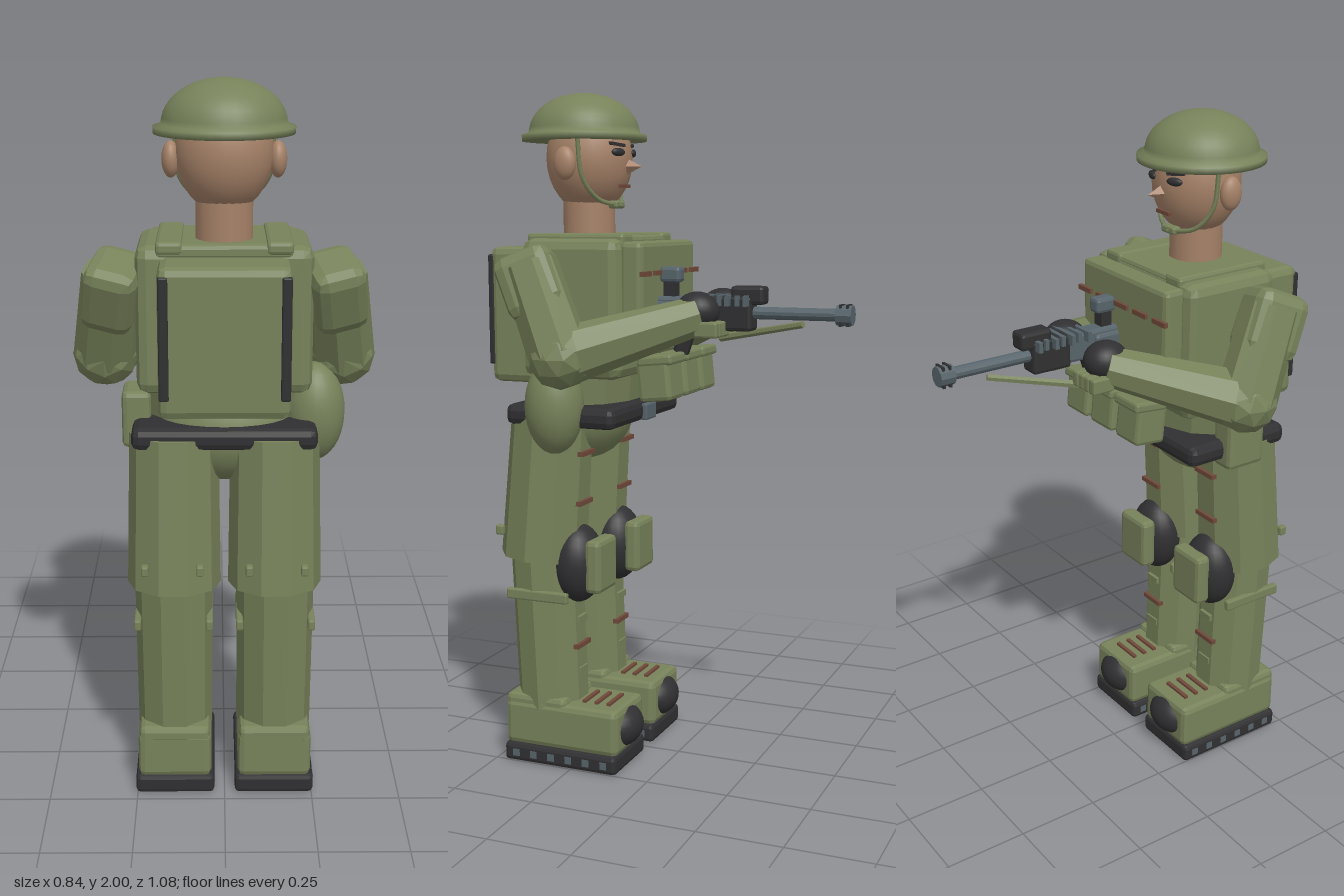
import * as THREE from 'three';
import { RoundedBoxGeometry } from 'three/addons/geometries/RoundedBoxGeometry.js';

export function createModel() {
  const model = new THREE.Group();
  model.name = 'soldier';
  const paint = (name, hex) => {
    const m = new THREE.MeshStandardMaterial({ color: hex });
    m.name = name;
    return m;
  };
  const olive = paint('olive cloth', 0x77825a);
  const skin = paint('skin', 0xa68268);
  const black = paint('black rubber', 0x303032);
  const steel = paint('gun steel', 0x57646b);
  const brown = paint('brown leather', 0x70493a);

  const V = (x, y, z) => new THREE.Vector3(x, y, z);
  const add = (name, geo, mat, p = [0, 0, 0], rot = [0, 0, 0]) => {
    const m = new THREE.Mesh(geo, mat);
    m.name = name;
    m.position.set(...p);
    m.rotation.set(...rot);
    model.add(m);
    return m;
  };
  const flat = (geo) => {
    const g = geo.index ? geo.toNonIndexed() : geo;
    g.computeVertexNormals();
    return g;
  };
  // Chamfered or plain box
  const box = (name, mat, size, p, bevel = 0, rot) =>
    add(name, bevel ? flat(new RoundedBoxGeometry(...size, 1, bevel)) : new THREE.BoxGeometry(...size), mat, p, rot);
  const ball = (name, mat, r, p, rot) => {
    const m = add(name, new THREE.SphereGeometry(1, 24, 16), mat, p, rot);
    m.scale.set(...r);
    return m;
  };
  // Tapered cylinder between two points
  const limb = (name, mat, a, b, ra, rb, sides = 8, faceted = true) => {
    const d = b.clone().sub(a);
    let g = new THREE.CylinderGeometry(rb, ra, d.length(), sides);
    g.rotateY(Math.PI / sides);
    if (faceted) g = flat(g);
    const m = add(name, g, mat, a.clone().add(b).multiplyScalar(0.5).toArray());
    m.quaternion.setFromUnitVectors(V(0, 1, 0), d.normalize());
    return m;
  };

  // Head and face
  ball('head', skin, [0.13, 0.16, 0.128], [0, 1.81, 0.285]);
  limb('neck', skin, V(0, 1.55, 0.288), V(0, 1.7, 0.288), 0.077, 0.077, 20, false);
  const nose = add('nose', flat(new THREE.ConeGeometry(0.022, 0.06, 4)), skin, [0, 1.785, 0.145], [-Math.PI / 2, 0, 0]);
  nose.scale.z = 1.3;
  box('mouth', brown, [0.06, 0.01, 0.012], [0, 1.728, 0.172]);
  for (const s of [-1, 1]) {
    ball('ear', skin, [0.024, 0.048, 0.034], [s * 0.14, 1.792, 0.298]);
    ball('eye', black, [0.025, 0.012, 0.01], [s * 0.052, 1.825, 0.168], [0, s * -0.4, 0]);
    box('eyebrow', black, [0.055, 0.009, 0.012], [s * 0.052, 1.847, 0.172], 0, [0, s * -0.4, s * 0.1]);
    const strap = new THREE.CatmullRomCurve3([V(s * 0.13, 1.87, 0.262), V(s * 0.122, 1.75, 0.25), V(s * 0.08, 1.69, 0.22), V(0, 1.672, 0.185)]);
    add('chinStrap', new THREE.TubeGeometry(strap, 16, 0.007, 5), olive);
  }
  box('chinCup', olive, [0.06, 0.022, 0.03], [0, 1.675, 0.198], 0.006);

  // Helmet dome with flared brim
  const profile = [[0.15, 1.86], [0.185, 1.86], [0.186, 1.878], [0.166, 1.884]];
  for (let i = 1; i <= 12; i++) {
    const a = (i / 12) * Math.PI / 2;
    profile.push([0.164 * Math.cos(a), 1.884 + 0.116 * Math.sin(a)]);
  }
  profile.push([0, 2]);
  const dome = new THREE.LatheGeometry(profile.map(([x, y]) => new THREE.Vector2(Math.max(x, 0), y)), 32);
  add('helmet', dome, olive, [0, 0, 0.302]);
  add('helmetUnderside', new THREE.CircleGeometry(0.184, 32), olive, [0, 1.862, 0.302], [Math.PI / 2, 0, 0]);

  // Torso, vest and pack
  box('torso', olive, [0.47, 0.4, 0.31], [0, 1.378, 0.245], 0.03);
  box('collar', olive, [0.36, 0.04, 0.3], [0, 1.565, 0.25], 0.012);
  const waist = limb('waist', olive, V(0, 1.04, 0.27), V(0, 1.22, 0.27), 0.2, 0.235, 12);
  waist.scale.z = 0.65;
  box('chestPanel', olive, [0.41, 0.33, 0.07], [0, 1.405, 0.065], 0.015);
  box('pack', olive, [0.345, 0.4, 0.16], [0, 1.352, 0.456], 0.022);
  for (const s of [-1, 1]) {
    box('packStrap', black, [0.026, 0.325, 0.02], [s * 0.157, 1.367, 0.532], 0.005);
    box('shoulderStrap', olive, [0.07, 0.035, 0.31], [s * 0.145, 1.575, 0.25], 0.01);
  }
  for (let i = -2; i <= 2; i++) box('chestLoop', brown, [0.061, 0.014, 0.012], [i * 0.092, 1.48, 0.026]);
  for (const x of [-0.13, 0, 0.13]) {
    box('chestPouch', olive, [0.11, 0.125, 0.1], [x, 1.18, 0.005], 0.012, [0.1, 0, 0]);
    box('pouchFlap', olive, [0.115, 0.03, 0.108], [x, 1.235, 0.002], 0.008, [0.1, 0, 0]);
  }

  // Belt and hips
  box('belt', black, [0.5, 0.062, 0.35], [0, 1.067, 0.275], 0.02);
  box('buckle', steel, [0.075, 0.05, 0.02], [0, 1.064, 0.097], 0.005);
  ball('hips', olive, [0.19, 0.15, 0.13], [0, 1.06, 0.3]);
  ball('canteen', olive, [0.085, 0.14, 0.086], [0.248, 1.1, 0.287]);
  box('sidePouch', olive, [0.08, 0.16, 0.13], [-0.24, 1.09, 0.28], 0.015);

  for (const s of [-1, 1]) {
    const x = s * 0.142;
    // Legs
    limb('thigh', olive, V(s * 0.14, 0.63, 0.383), V(s * 0.138, 1.06, 0.35), 0.13, 0.122, 10);
    limb('shin', olive, V(x, 0.17, 0.355), V(x, 0.64, 0.373), 0.106, 0.109, 10);
    for (const dx of [-1, 1]) {
      box('kneeStrap', olive, [0.02, 0.032, 0.2], [x + dx * 0.1, 0.525, 0.355], 0.005);
      box('trouserButton', olive, [0.02, 0.03, 0.025], [x + dx * 0.075, 0.71, 0.49], 0.005);
    }
    for (const [y, z] of [[0.95, 0.238], [0.8, 0.248], [0.36, 0.26]])
      box('legLoop', brown, [0.085, 0.014, 0.02], [x, y, z]);
    for (const y of [0.28, 0.44]) box('shinSeam', olive, [0.05, 0.02, 0.02], [x, y, 0.262]);
    // Knee guard
    ball('kneePad', black, [0.09, 0.12, 0.078], [x, 0.612, 0.268]);
    box('kneePlate', olive, [0.13, 0.16, 0.05], [x, 0.615, 0.193], 0.014);
    // Boots
    box('boot', olive, [0.208, 0.14, 0.37], [x, 0.122, 0.285], 0.018);
    box('bootCuff', olive, [0.2, 0.05, 0.2], [x, 0.185, 0.37], 0.015);
    ball('toeCap', black, [0.082, 0.066, 0.07], [x, 0.122, 0.134]);
    box('sole', black, [0.225, 0.056, 0.37], [x, 0.028, 0.286], 0.012);
    for (let i = 0; i < 6; i++) {
      box('soleTread', steel, [0.228, 0.022, 0.022], [x, 0.028, 0.14 + i * 0.058]);
      if (i < 3) box('lace', brown, [0.1, 0.01, 0.012], [x, 0.195, 0.15 + i * 0.04]);
    }

    // Arms
    const elbow = V(s * 0.327, 1.25, 0.225);
    const wrist = V(s * 0.12, 1.362, -0.105);
    limb('upperArm', olive, V(s * 0.295, 1.5, 0.335), elbow, 0.083, 0.09);
    box('shoulderPad', olive, [0.145, 0.19, 0.17], [s * 0.295, 1.45, 0.325], 0.035, [0.4, s * 0.25, s * 0.12]);
    add('elbow', flat(new THREE.IcosahedronGeometry(0.092, 1)), olive, elbow.toArray());
    limb('forearm', olive, elbow, wrist, 0.085, 0.056);
    ball('hand', black, [0.06, 0.055, 0.065], [s * 0.105, 1.375, -0.1]);
    for (let i = 0; i < 4; i++)
      box('gloveFinger', olive, [0.027, 0.045, 0.07], [s * (0.07 + i * 0.027), 1.325, -0.145], 0.006);
  }

  // Rifle
  const gx = 0.055, gy = 1.37;
  box('receiver', steel, [0.06, 0.085, 0.25], [gx, gy, -0.08], 0.01);
  box('stock', steel, [0.075, 0.07, 0.1], [gx, gy - 0.005, 0], 0.012);
  box('rearSightPost', black, [0.035, 0.08, 0.035], [gx, 1.43, 0.0]);
  box('rearSight', steel, [0.045, 0.045, 0.065], [gx, 1.475, -0.002], 0.01);
  box('handguard', black, [0.065, 0.1, 0.125], [gx, 1.368, -0.192], 0.01);
  box('scope', black, [0.058, 0.052, 0.1], [gx, 1.42, -0.24], 0.01);
  for (let i = 0; i < 7; i++)
    box('rail', steel, [i % 2 ? 0.085 : 0.105, 0.03, 0.012], [gx, 1.405, -0.08 - i * 0.027]);
  limb('barrel', steel, V(gx, gy, -0.24), V(gx, gy, -0.51), 0.018, 0.018, 12);
  limb('muzzle', steel, V(gx, gy, -0.497), V(gx, gy, -0.542), 0.029, 0.029, 10);
  for (const z of [-0.51, -0.53]) box('muzzleSlot', black, [0.04, 0.061, 0.007], [gx, gy, z]);
  limb('grip', black, V(gx, 1.34, -0.06), V(gx, 1.25, -0.03), 0.024, 0.024);
  limb('supportRod', olive, V(-0.06, 1.285, -0.11), V(0.043, 1.34, -0.395), 0.012, 0.01, 6);

  return model;
}
